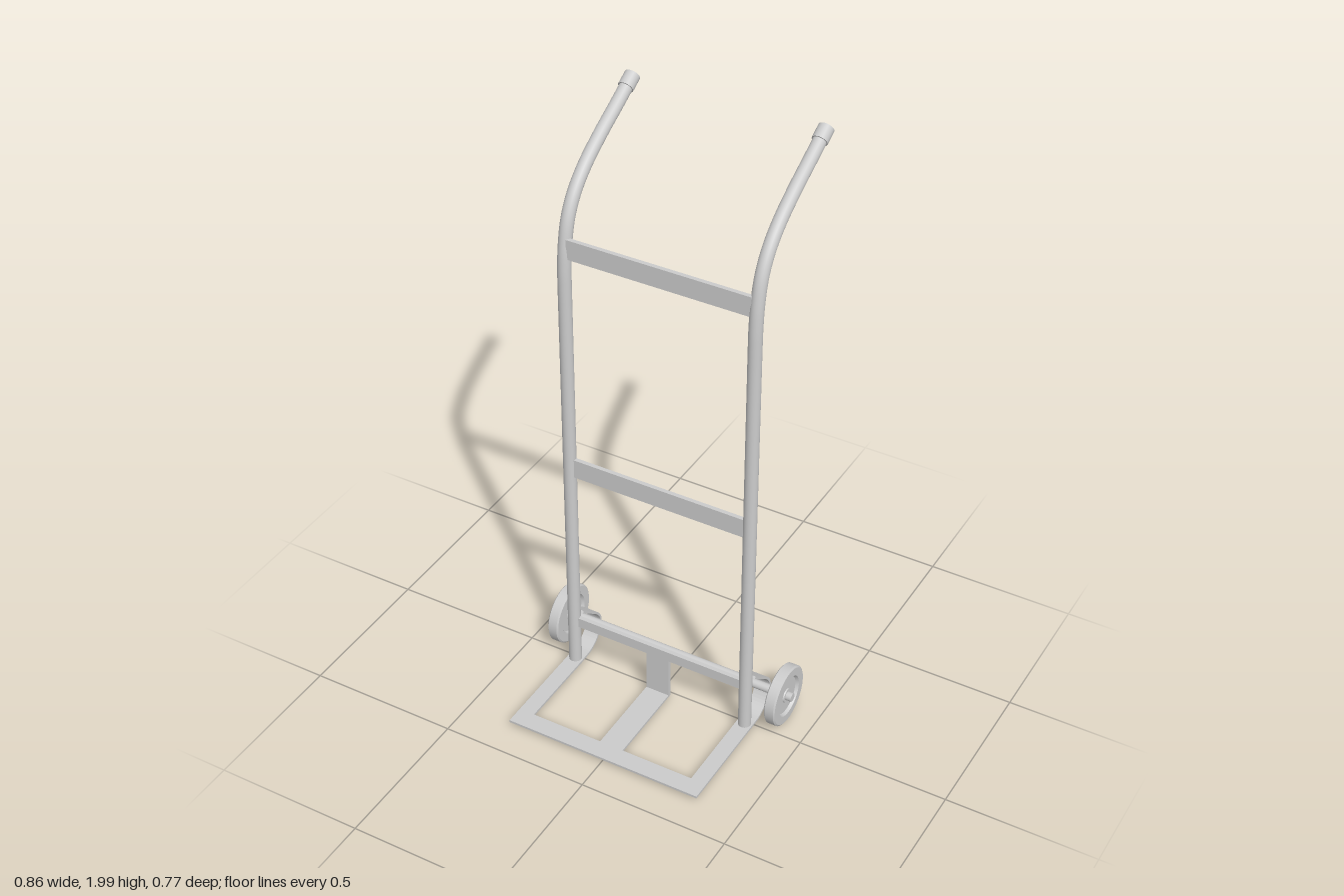
import * as THREE from 'three';

const material = new THREE.MeshStandardMaterial({ color: 0xcccccc });
const RAIL_X = 0.314, RAIL_R = 0.021, RAIL_Z = 0.026;
const AXLE_Y = 0.102, AXLE_Z = -0.0735;

function add(parent, name, geometry, x = 0, y = 0, z = 0) {
  const mesh = new THREE.Mesh(geometry, material);
  mesh.name = name;
  mesh.position.set(x, y, z);
  parent.add(mesh);
  return mesh;
}

// Upright tube: straight run, then a bend sweeping back into the handle
function railPath() {
  const v = (y, z) => new THREE.Vector3(0, y, z);
  const path = new THREE.CurvePath();
  path.add(new THREE.LineCurve3(v(0.01, RAIL_Z), v(1.45, RAIL_Z)));
  path.add(new THREE.CatmullRomCurve3([
    v(1.45, RAIL_Z), v(1.52, 0.025), v(1.6, 0.018), v(1.68, -0.001), v(1.745, -0.037),
    v(1.805, -0.097), v(1.865, -0.187), v(1.918, -0.282), v(1.966, -0.365),
  ]));
  return path;
}

// E-shaped toe plate, drawn in x and z and laid flat
function toePlate() {
  const half = [[0.34, 0.385], [0.34, 0.02], [0.287, 0.02], [0.287, 0.324], [0.041, 0.324], [0.041, 0.02]];
  const outline = [...half, ...half.map(([x, z]) => [-x, z]).reverse()];
  const shape = new THREE.Shape(outline.map(([x, z]) => new THREE.Vector2(x, z)));
  const geometry = new THREE.ExtrudeGeometry(shape, { depth: 0.008, bevelEnabled: false });
  return geometry.rotateX(Math.PI / 2).translate(0, 0.018, 0);
}

// Flat strap running from the toe plate, round behind the axle and up to the rail
function axleStrap() {
  const t = 0.008, width = 0.052;
  const center = new THREE.CatmullRomCurve3([
    [0.03, 0.014], [0, 0.014], [-0.03, 0.018], [-0.065, 0.037], [-0.09, 0.073],
    [-0.094, 0.11], [-0.075, 0.142], [-0.035, 0.176], [0.012, 0.213],
  ].map(([z, y]) => new THREE.Vector3(z, y, 0)));
  const outer = [], inner = [], steps = 32;
  for (let i = 0; i <= steps; i++) {
    const p = center.getPoint(i / steps), d = center.getTangent(i / steps);
    outer.push(new THREE.Vector2(p.x + d.y * t / 2, p.y - d.x * t / 2));
    inner.push(new THREE.Vector2(p.x - d.y * t / 2, p.y + d.x * t / 2));
  }
  const shape = new THREE.Shape([...outer, ...inner.reverse()]);
  const geometry = new THREE.ExtrudeGeometry(shape, { depth: width, bevelEnabled: false });
  return geometry.translate(0, 0, -width / 2).rotateY(-Math.PI / 2);
}

// Wheel with a raised tyre, recessed disc and small hub on both faces
function wheelGeometry() {
  const face = [[0.012, 0.013], [0.022, 0.013], [0.024, 0.009], [0.064, 0.009], [0.069, 0.019], [0.097, 0.019], [0.102, 0.015]];
  const profile = [...face.map(([r, h]) => [r, -h]), ...face.slice().reverse()];
  // Doubled corner points keep the edges crisp
  const points = profile.flatMap(([r, h]) => [new THREE.Vector2(r, h), new THREE.Vector2(r, h + 1e-5)]);
  return new THREE.LatheGeometry(points, 48).rotateZ(Math.PI / 2);
}

export function createModel() {
  const model = new THREE.Group();
  model.name = 'handTruck';
  const path = railPath();
  const end = path.getPoint(1), direction = path.getTangent(1).normalize();

  for (const [side, sign] of [['left', 1], ['right', -1]]) {
    const x = sign * RAIL_X;
    add(model, side + 'Rail', new THREE.TubeGeometry(path, 160, RAIL_R, 24), x);

    // End cap on the handle
    const cap = add(model, side + 'HandleCap', new THREE.CylinderGeometry(0.0245, 0.0245, 0.046, 24));
    cap.position.copy(end).addScaledVector(direction, -0.015).setX(x);
    cap.quaternion.setFromUnitVectors(new THREE.Vector3(0, 1, 0), direction);

    // Closed foot of the rail
    add(model, side + 'RailFoot', new THREE.CylinderGeometry(RAIL_R, RAIL_R, 0.006, 24), x, 0.013, RAIL_Z);
    add(model, side + 'AxleStrap', axleStrap(), x);
    add(model, side + 'Wheel', wheelGeometry(), sign * 0.399, AXLE_Y, AXLE_Z);
  }

  // Cross bars between the rails
  for (const [name, y, height] of [['topCrossBar', 1.597, 0.066], ['middleCrossBar', 0.807, 0.066], ['lowerCrossBar', 0.182, 0.036]]) {
    add(model, name, new THREE.BoxGeometry(0.604, height, 0.014), 0, y, 0.027);
  }

  // Upright leg joining the lower bar to the toe plate
  add(model, 'centerStrip', new THREE.BoxGeometry(0.082, 0.19, 0.014), 0, 0.105, 0.027);
  add(model, 'toePlate', toePlate());

  const axle = new THREE.CylinderGeometry(0.0145, 0.0145, 0.862, 24).rotateZ(Math.PI / 2);
  add(model, 'axle', axle, 0, AXLE_Y, AXLE_Z);
  return model;
}
